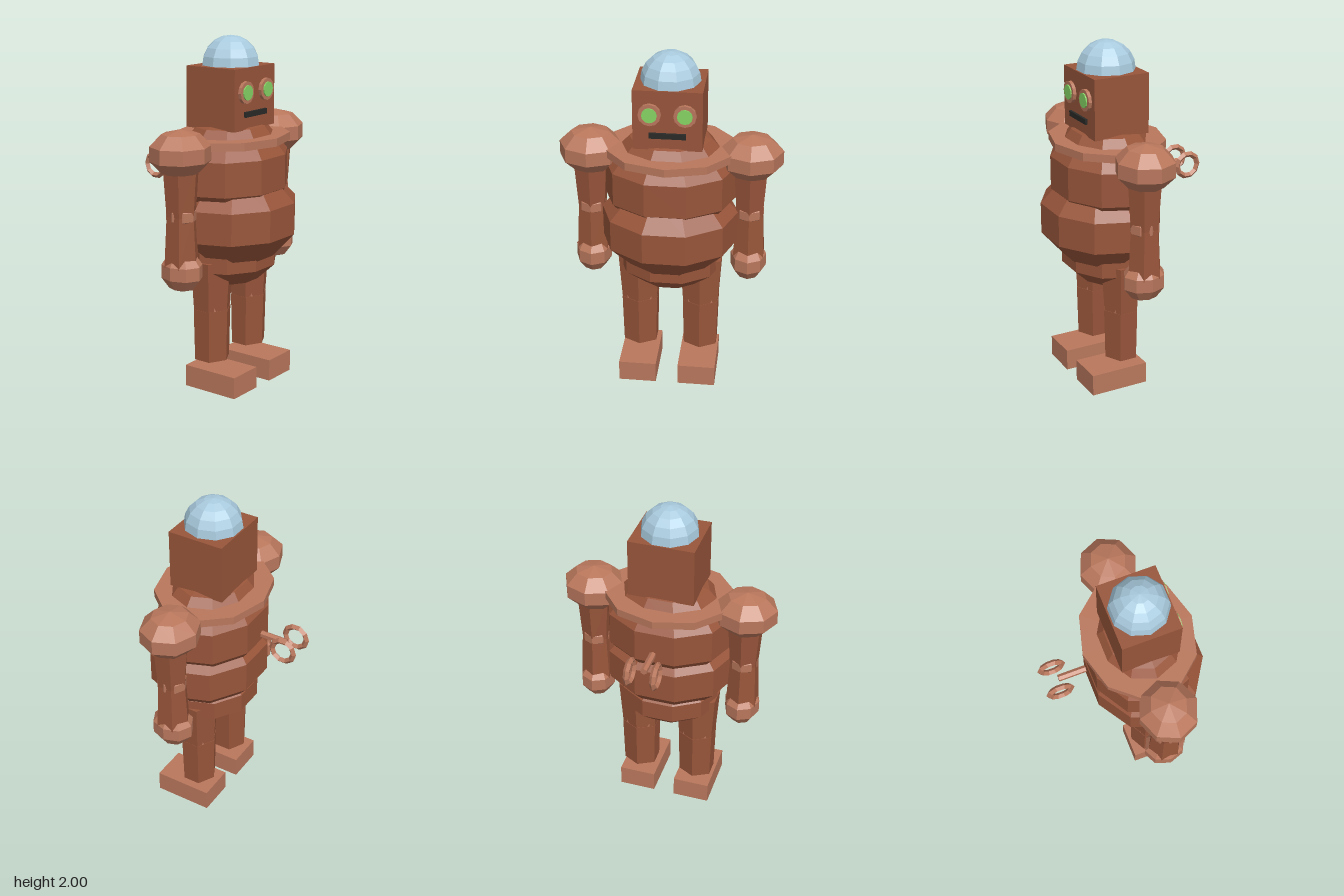
import * as THREE from 'three';

const mat = (name, color) => {
  const m = new THREE.MeshStandardMaterial({ color });
  m.name = name;
  return m;
};

export function createModel() {
  const rust = mat('rust brown', 0x98553a);
  const copper = mat('light copper', 0xb9775c);
  const glass = mat('pale blue glass', 0xa9cbde);
  const glow = mat('green glow', 0x86d465);
  const black = mat('dark slot', 0x2a2a28);

  const robot = new THREE.Group();
  robot.name = 'robot';

  // Adds a faceted mesh: split vertices give every face its own normal
  const add = (name, geo, material, x, y, z, parent = robot) => {
    const g = geo.toNonIndexed();
    g.computeVertexNormals();
    const mesh = new THREE.Mesh(g, material);
    mesh.name = name;
    mesh.position.set(x, y, z);
    parent.add(mesh);
    return mesh;
  };
  const ball = (rx, ry, rz, sides, rows) =>
    new THREE.SphereGeometry(1, sides, rows).scale(rx, ry, rz);
  const limb = (top, bottom, height, sx = 1) =>
    new THREE.CylinderGeometry(top, bottom, height, 6).scale(sx, 1, 1);
  const box = (w, h, d) => new THREE.BoxGeometry(w, h, d);
  const disc = (r, depth) => new THREE.CylinderGeometry(r, r, depth, 12).rotateX(Math.PI / 2);

  // Torso of three overlapping faceted bulges, with a collar plate
  add('pelvis', ball(0.31, 0.18, 0.265, 10, 5), rust, 0, 0.76, 0.11);
  add('belly', ball(0.405, 0.29, 0.354, 10, 5), rust, 0, 0.985, 0.143);
  add('chest', ball(0.39, 0.31, 0.32, 10, 5), rust, 0, 1.25, 0.11);
  add('collar', new THREE.CylinderGeometry(1, 1, 0.045, 10).scale(0.375, 1, 0.317), copper, 0, 1.432, 0.103);

  // Head with glass dome and mouth slot
  add('head', box(0.376, 0.34, 0.33), rust, 0, 1.667, 0.105);
  add('dome', new THREE.SphereGeometry(0.165, 10, 5, 0, Math.PI * 2, 0, Math.PI / 2), glass, 0, 1.835, 0.105);
  add('mouth', box(0.2, 0.03, 0.018), black, 0, 1.583, 0.275);

  for (const s of [1, -1]) {
    const side = s > 0 ? 'left' : 'right';

    // Eye
    const eye = new THREE.Group();
    eye.name = side + 'Eye';
    robot.add(eye);
    add('eyeRim', disc(0.062, 0.022), copper, s * 0.095, 1.705, 0.278, eye);
    add('eyeLens', disc(0.042, 0.008), glow, s * 0.095, 1.705, 0.292, eye);

    // Arm: shoulder, two tapered segments, elbow and hand
    const arm = new THREE.Group();
    arm.name = side + 'Arm';
    robot.add(arm);
    const ax = s * 0.447;
    add('shoulder', ball(0.184, 0.13, 0.171, 8, 5), copper, ax, 1.405, 0.103, arm);
    add('upperArm', limb(0.105, 0.084, 0.3), rust, ax, 1.2, 0.105, arm);
    add('elbow', ball(0.082, 0.082, 0.09, 8, 5), copper, ax, 1.065, 0.105, arm);
    add('forearm', limb(0.084, 0.1, 0.3), rust, ax, 0.93, 0.105, arm);
    add('hand', ball(0.107, 0.12, 0.128, 8, 5), copper, ax, 0.753, 0.107, arm);

    // Leg: two tapered segments, knee and block foot
    const leg = new THREE.Group();
    leg.name = side + 'Leg';
    robot.add(leg);
    const lx = s * 0.178;
    add('thigh', limb(0.122, 0.103, 0.3, 1.12), rust, lx, 0.61, 0.11, leg);
    add('knee', ball(0.106, 0.09, 0.102, 8, 5), copper, lx, 0.475, 0.11, leg);
    add('shin', limb(0.107, 0.1, 0.3, 1.1), rust, lx, 0.325, 0.11, leg);
    add('foot', box(0.217, 0.125, 0.345), copper, s * 0.173, 0.0665, 0.17, leg);

    // Winding key ring
    add(side + 'KeyRing', new THREE.TorusGeometry(0.066, 0.017, 4, 10).rotateY(Math.PI / 2),
      copper, s * 0.075, 1.225, -0.38);
  }

  // Winding key shaft
  add('keyShaft', new THREE.CylinderGeometry(0.02, 0.02, 0.16, 6).rotateX(Math.PI / 2), copper, 0, 1.228, -0.285);

  // Rest the feet on the ground
  robot.position.y = -0.004;
  const model = new THREE.Group();
  model.name = 'windUpRobot';
  model.add(robot);
  return model;
}
